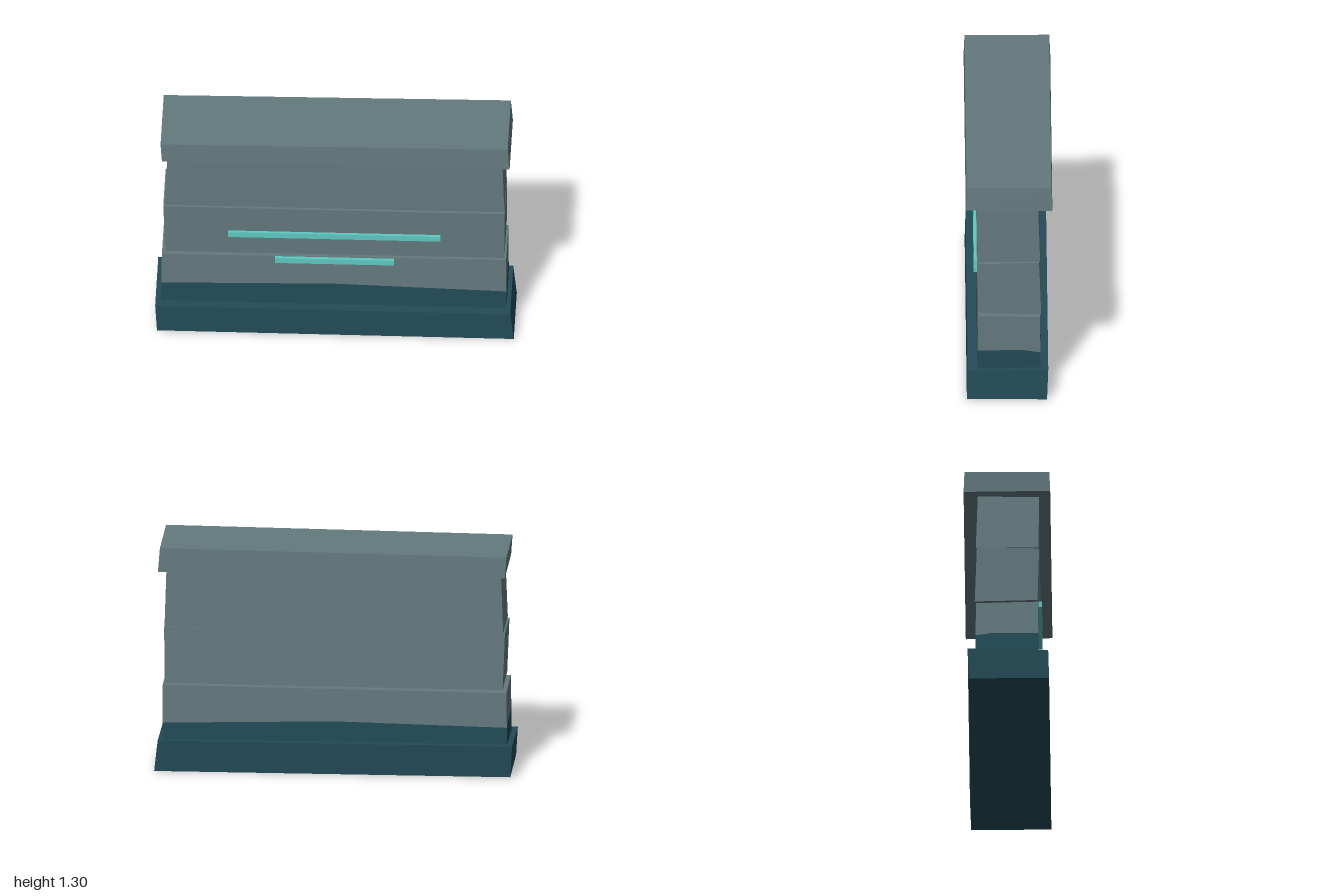
import * as THREE from 'three';

const stone = new THREE.MeshStandardMaterial({ color: 0x647a7e });
stone.name = 'greyStone';
const damp = new THREE.MeshStandardMaterial({ color: 0x234b57 });
damp.name = 'darkTealStone';
const glow = new THREE.MeshStandardMaterial({ color: 0x5ec8c0 });
glow.name = 'paleTurquoise';

const mix = THREE.MathUtils.lerp;

// Hewn block: each end is [xLeft, xRight, zBack, zFront] and a height rule of (x, z) in -0.5..0.5
function block(name, material, bottom, bottomY, top, topY, segments = 1) {
  const box = new THREE.BoxGeometry(1, 1, 1, segments, 1, segments);
  const p = box.attributes.position;
  for (let i = 0; i < p.count; i++) {
    const u = p.getX(i), v = p.getZ(i), upper = p.getY(i) > 0;
    const e = upper ? top : bottom;
    p.setXYZ(i, mix(e[0], e[1], u + 0.5), (upper ? topY : bottomY)(u, v), mix(e[2], e[3], v + 0.5));
  }
  const geometry = box.toNonIndexed();
  geometry.computeVertexNormals();
  const mesh = new THREE.Mesh(geometry, material);
  mesh.name = name;
  return mesh;
}

// Tilted plane: middle height, rise towards +x, rise towards +z
const plane = (y, dx = 0, dz = 0) => (u, v) => y + dx * u + dz * v;

export function createModel() {
  const wall = new THREE.Group();
  wall.name = 'stoneWall';

  // Foundation slab
  wall.add(block('base', damp,
    [-0.99, 1.0, -0.21, 0.237], plane(0.004, -0.005, 0.003),
    [-1.0, 0.98, -0.217, 0.232], plane(0.176, -0.006, -0.012)));

  // Lower course, stained up to a slightly domed line
  const stainLine = (u, v) => 0.312 - 0.045 * Math.abs(u) - 0.01 * u - (v < -0.25 ? 0.014 : 0);
  const stainEdge = [-0.968, 0.956, -0.173, 0.177];
  wall.add(block('lowerCourseStain', damp,
    [-0.97, 0.957, -0.175, 0.178], plane(0.172),
    stainEdge, stainLine, 4));
  wall.add(block('lowerCourse', stone,
    stainEdge, stainLine,
    [-0.965, 0.955, -0.171, 0.174], plane(0.489, 0.01, 0.008), 4));

  // Middle and upper courses
  wall.add(block('middleCourse', stone,
    [-0.945, 0.945, -0.178, 0.172], plane(0.505, 0.003, 0.008),
    [-0.957, 0.947, -0.166, 0.181], plane(0.822, -0.003, -0.008)));
  wall.add(block('upperCourse', stone,
    [-0.948, 0.945, -0.172, 0.178], plane(0.828),
    [-0.935, 0.935, -0.161, 0.18], plane(1.149, 0.004, -0.006)));

  // Overhanging coping
  wall.add(block('coping', stone,
    [-0.962, 0.977, -0.24, 0.243], plane(1.167, -0.002, 0.005),
    [-0.97, 0.966, -0.235, 0.238], plane(1.292, 0.016)));

  // Inlaid strips on the front
  for (const [name, width, y] of [['upperStrip', 1.185, 0.645], ['lowerStrip', 0.665, 0.474]]) {
    const strip = new THREE.Mesh(new THREE.BoxGeometry(width, 0.032, 0.024), glow);
    strip.name = name;
    strip.position.set(-0.002, y, 0.183);
    wall.add(strip);
  }
  return wall;
}
